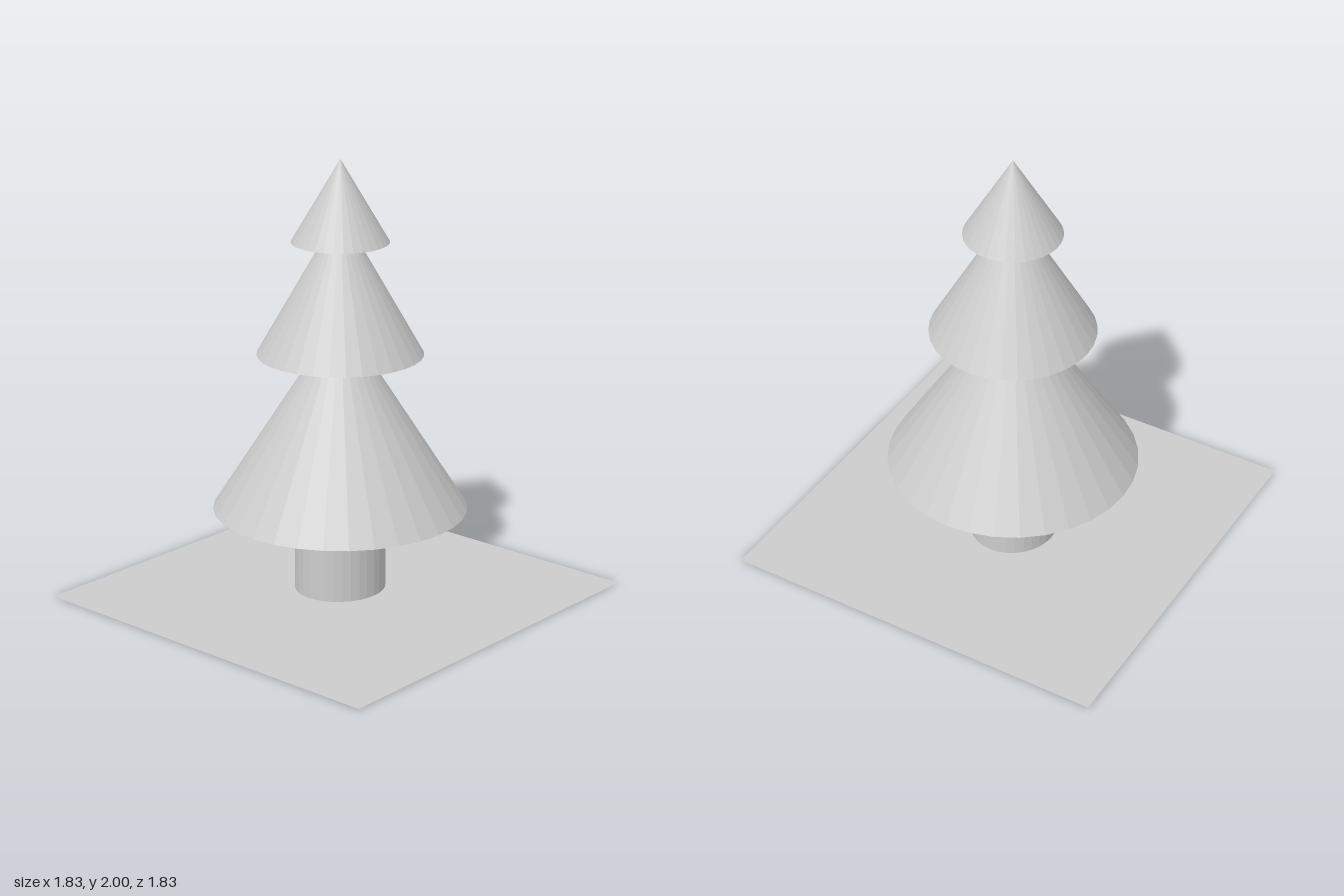
import * as THREE from 'three';

export function createModel() {
  const tree = new THREE.Group();
  tree.name = 'coniferTree';
  const material = new THREE.MeshStandardMaterial({ color: 0xcccccc, flatShading: true });
  const SIDES = 32;

  const add = (name, geometry, x, y, z, mat = material) => {
    const mesh = new THREE.Mesh(geometry, mat);
    mesh.name = name;
    mesh.position.set(x, y, z);
    tree.add(mesh);
    return mesh;
  };

  // Thin square of ground, just above the trunk's underside
  const groundMaterial = material.clone();
  groundMaterial.side = THREE.DoubleSide;
  add('groundPatch', new THREE.PlaneGeometry(1.83, 1.83).rotateX(-Math.PI / 2), 0, 0.003, 0, groundMaterial);

  // Slightly oval trunk
  const trunk = add('trunk', new THREE.CylinderGeometry(1, 1, 0.41, SIDES), 0.05, 0.205, -0.03);
  trunk.scale.set(0.215, 1, 0.202);

  // Overlapping tiers of foliage: name, base radius, base height, apex height
  const tiers = [
    ['lowerFoliage', 0.577, 0.4, 1.3],
    ['middleFoliage', 0.374, 1.12, 1.774],
    ['topFoliage', 0.219, 1.63, 2],
  ];
  for (const [name, radius, base, apex] of tiers) {
    add(name, new THREE.ConeGeometry(radius, apex - base, SIDES), 0.03, (base + apex) / 2, -0.013);
  }

  return tree;
}
